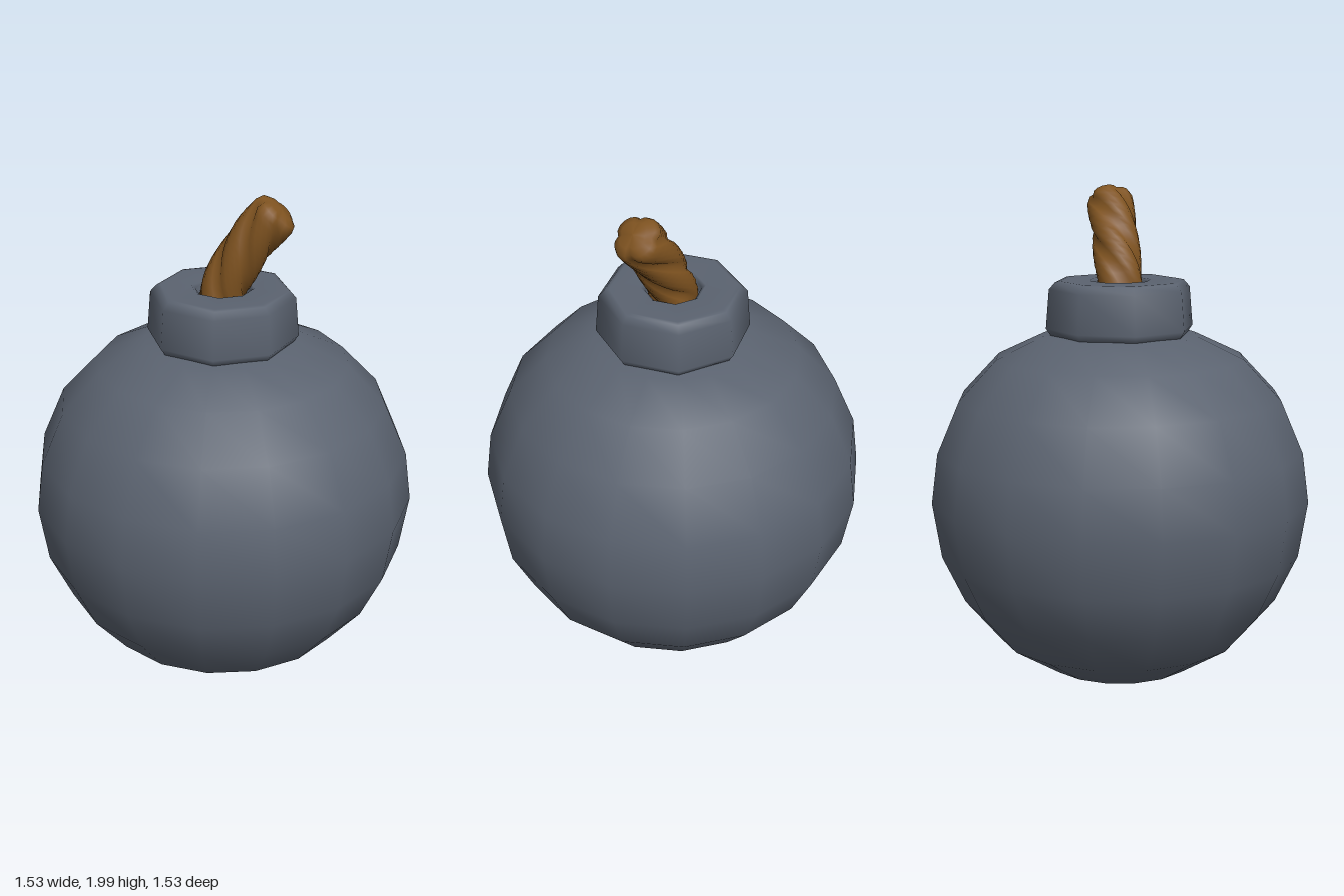
import * as THREE from 'three';

const iron = new THREE.MeshStandardMaterial({ color: 0x5b6370 });
iron.name = 'iron grey';
const rope = new THREE.MeshStandardMaterial({ color: 0x7f5320 });
rope.name = 'rope brown';

// Turned part from [radius, height] pairs, listed bottom to top
function lathe(name, profile, sides) {
  const points = profile.map(([r, y]) => new THREE.Vector2(r, y));
  const mesh = new THREE.Mesh(new THREE.LatheGeometry(points, sides), iron);
  mesh.name = name;
  return mesh;
}

// Twisted cord swept along a bent path in the xy plane, with a rounded tip
function twistedCord() {
  const path = new THREE.CatmullRomCurve3([
    [-0.01, 1.5], [0.005, 1.62], [0.06, 1.73], [0.13, 1.84], [0.195, 1.915],
  ].map(([x, y]) => new THREE.Vector3(x, y, 0)));
  const steps = 18, around = 24, lobes = 4, twist = 3.6, radius = 0.093;
  const rings = [];
  for (let i = 0; i <= steps; i++) rings.push({ t: i / steps, scale: 1, push: 0 });
  rings.push({ t: 1, scale: 0.9, push: 0.025 }, { t: 1, scale: 0.6, push: 0.04 }, { t: 1, scale: 0, push: 0.045 });

  const positions = [], index = [];
  rings.forEach(({ t, scale, push }, i) => {
    const tangent = path.getTangentAt(t);
    const centre = path.getPointAt(t).addScaledVector(tangent, push);
    const normal = new THREE.Vector3(-tangent.y, tangent.x, 0);
    for (let j = 0; j < around; j++) {
      const a = (j / around) * Math.PI * 2;
      // Rounded strands with narrow grooves between them
      const lobe = Math.abs(Math.cos(a * lobes / 2));
      const r = radius * scale * (0.83 + 0.2 * Math.sqrt(lobe));
      const b = a - twist * t;
      const p = centre.clone().addScaledVector(normal, r * Math.cos(b));
      positions.push(p.x, p.y, r * Math.sin(b));
      if (i < rings.length - 1) {
        const k = (j + 1) % around, lo = i * around, hi = lo + around;
        index.push(lo + j, lo + k, hi + j, lo + k, hi + k, hi + j);
      }
    }
  });
  const geometry = new THREE.BufferGeometry();
  geometry.setAttribute('position', new THREE.Float32BufferAttribute(positions, 3));
  geometry.setIndex(index);
  geometry.computeVertexNormals();
  return geometry;
}

export function createModel() {
  const group = new THREE.Group();
  group.name = 'roundBomb';

  // Sixteen-sided ball
  group.add(lathe('body', [
    [0, 0], [0.3, 0.04], [0.5, 0.165], [0.64, 0.33], [0.73, 0.52], [0.766, 0.745],
    [0.74, 0.945], [0.65, 1.155], [0.5, 1.315], [0.31, 1.405], [0, 1.43],
  ], 16));

  // Octagonal collar with bevelled rim and a sunken hole
  group.add(lathe('collar', [
    [0.24, 1.4], [0.28, 1.405], [0.3, 1.435], [0.287, 1.59], [0.262, 1.618],
    [0.245, 1.622], [0.125, 1.622], [0.11, 1.612], [0.1, 1.55], [0, 1.55],
  ], 8));

  const fuse = new THREE.Mesh(twistedCord(), rope);
  fuse.name = 'fuse';
  group.add(fuse);
  return group;
}
